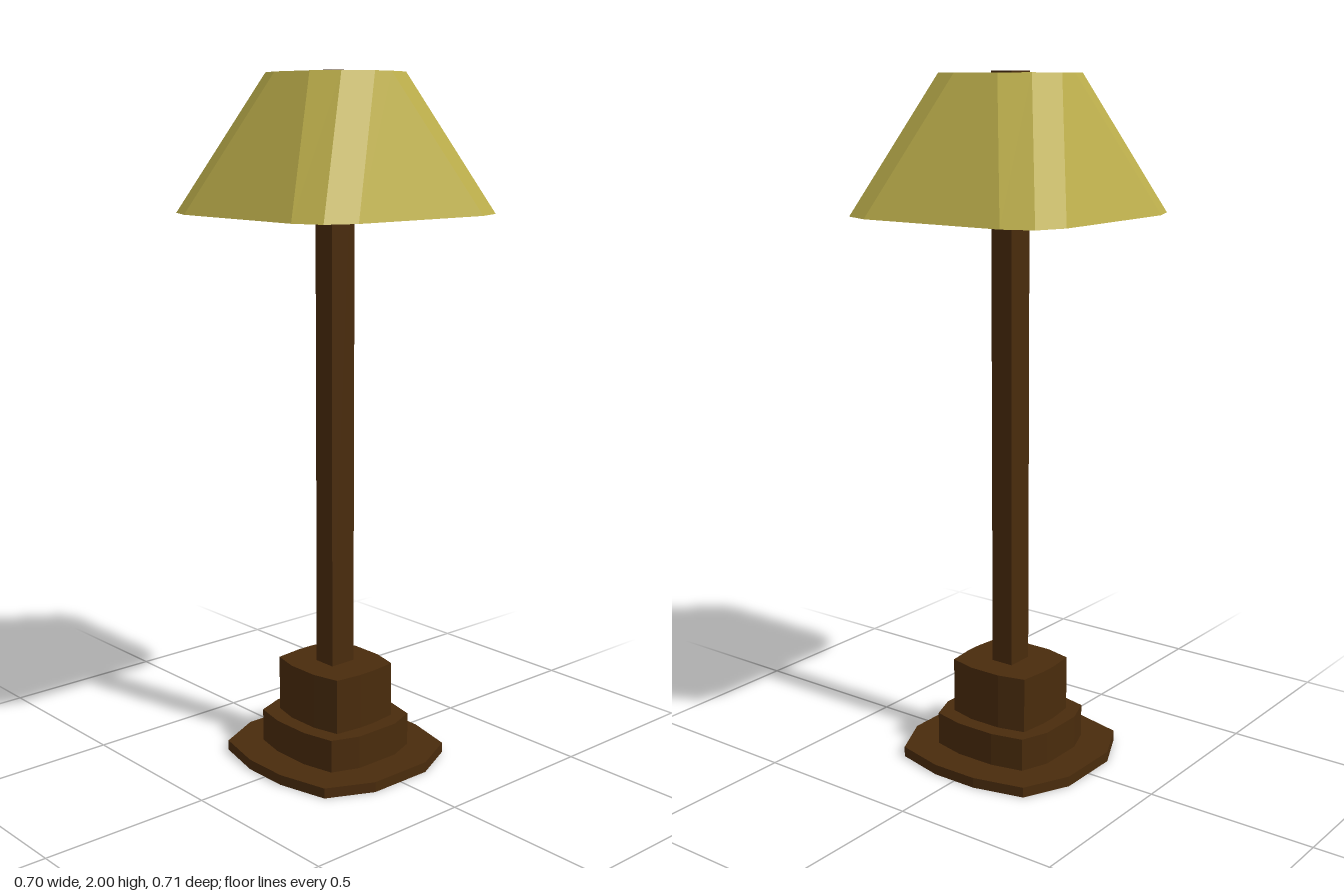
import * as THREE from 'three';

const wood = new THREE.MeshStandardMaterial({ color: 0x492b0c, flatShading: true });
wood.name = 'dark wood';
const fabric = new THREE.MeshStandardMaterial({ color: 0xbbad4b, flatShading: true });
fabric.name = 'khaki shade';

// Twelve-sided outline from three corner points [x, z] of one quadrant, mirrored to all four.
function outline(quad, y) {
  const back = [...quad].reverse();
  return [
    ...quad.map(([x, z]) => [x, y, -z]),
    ...back.map(([x, z]) => [-x, y, -z]),
    ...quad.map(([x, z]) => [-x, y, z]),
    ...back.map(([x, z]) => [x, y, z]),
  ];
}

// Closed solid skinned through outlines, running from the underside to the upper side.
function loft(name, sections, material) {
  const rings = sections.map(([quad, y]) => outline(quad, y));
  const n = rings[0].length;
  const first = sections[0][1];
  const last = sections[sections.length - 1][1];
  const pos = [];
  for (let j = 0; j < n; j++) {
    const k = (j + 1) % n;
    pos.push(0, first, 0, ...rings[0][k], ...rings[0][j]);
    for (let i = 0; i + 1 < rings.length; i++) {
      const a = rings[i], b = rings[i + 1];
      pos.push(...a[j], ...a[k], ...b[k], ...a[j], ...b[k], ...b[j]);
    }
    const top = rings[rings.length - 1];
    pos.push(0, last, 0, ...top[j], ...top[k]);
  }
  const geometry = new THREE.BufferGeometry();
  geometry.setAttribute('position', new THREE.Float32BufferAttribute(pos, 3));
  geometry.computeVertexNormals();
  const mesh = new THREE.Mesh(geometry, material);
  mesh.name = name;
  return mesh;
}

export function createModel() {
  const lamp = new THREE.Group();
  lamp.name = 'floorLamp';

  // Stepped base: three stacked tiers
  const tiers = [
    ['basePlate', 0, 0.03, [[0.285, 0.1], [0.22, 0.235], [0.07, 0.272]]],
    ['baseMiddle', 0.03, 0.127, [[0.186, 0.07], [0.155, 0.152], [0.06, 0.174]]],
    ['baseTop', 0.127, 0.29, [[0.14, 0.025], [0.13, 0.107], [0.05, 0.127]]],
  ];
  for (const [name, low, high, quad] of tiers) {
    lamp.add(loft(name, [[quad, low], [quad, high]], wood));
  }

  // Square post running through the shade
  const post = new THREE.Mesh(new THREE.BoxGeometry(0.07, 1.71, 0.084), wood);
  post.name = 'post';
  post.position.y = 1.145;
  lamp.add(post);

  // Shade: shallow recessed ceiling, flared wall, and a sunken top
  lamp.add(loft('lampshade', [
    [[[0.25, 0.155], [0.222, 0.224], [0.155, 0.253]], 1.675],
    [[[0.35, 0.23], [0.315, 0.318], [0.23, 0.353]], 1.61],
    [[[0.193, 0.03], [0.158, 0.118], [0.073, 0.155]], 1.995],
    [[[0.152, 0.03], [0.125, 0.092], [0.058, 0.12]], 1.915],
  ], fabric));

  return lamp;
}
